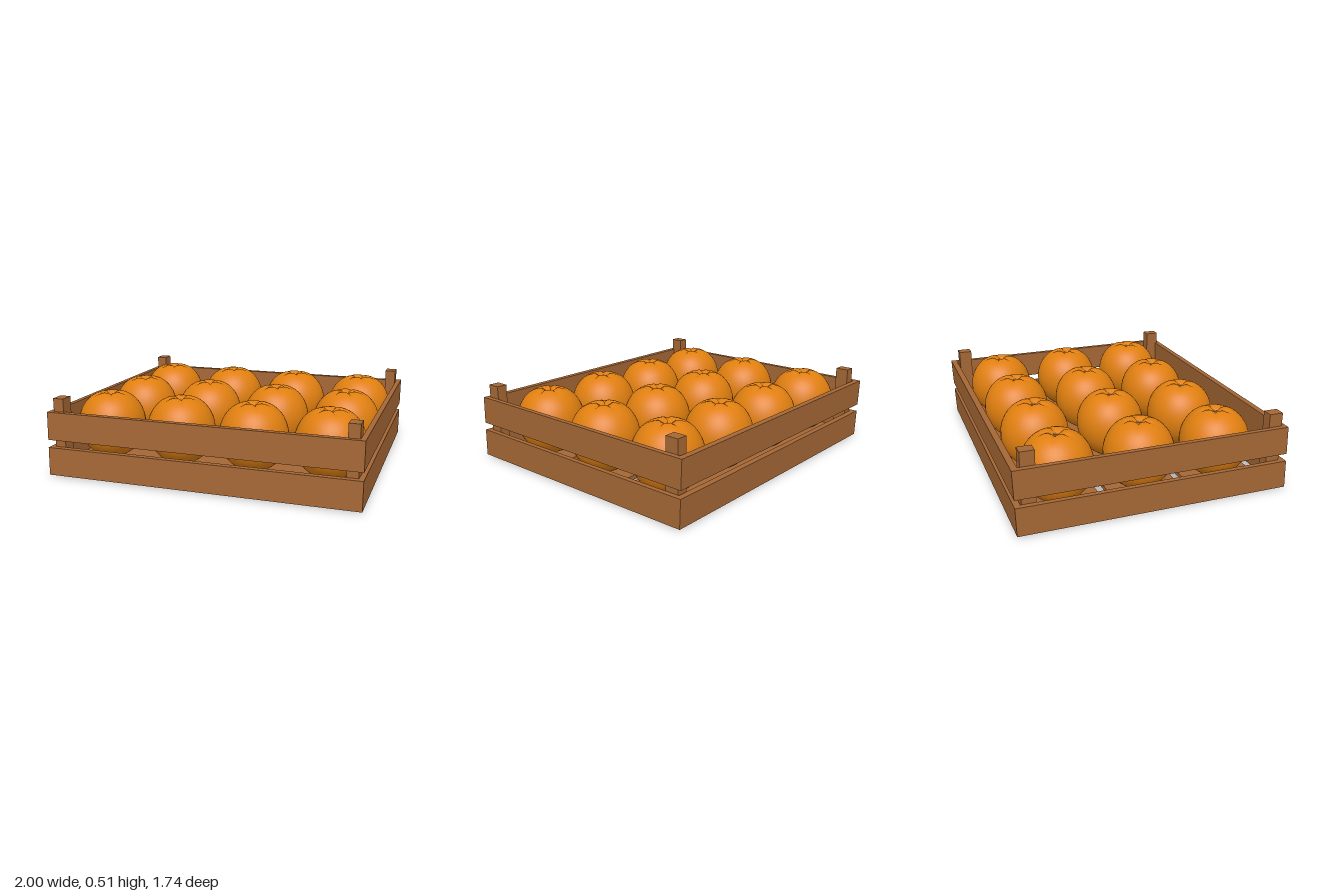
import * as THREE from 'three';
import { mergeVertices } from 'three/addons/utils/BufferGeometryUtils.js';

const LEAN = -0.036; // the walls lean slightly towards the back

export function createModel() {
  const model = new THREE.Group();
  model.name = 'fruitCrate';
  const wood = new THREE.MeshStandardMaterial({ color: 0xa56735 });
  wood.name = 'wood';
  const peel = new THREE.MeshStandardMaterial({ color: 0xe07f10 });
  peel.name = 'orangePeel';
  const stemMat = new THREE.MeshStandardMaterial({ color: 0xa8703c });
  stemMat.name = 'stemBrown';

  // Box given by its limits, optionally sheared along z with height
  function plank(name, x0, x1, y0, y1, z0, z1, lean = 0) {
    const geo = new THREE.BoxGeometry(x1 - x0, y1 - y0, z1 - z0);
    geo.translate((x0 + x1) / 2, (y0 + y1) / 2, (z0 + z1) / 2);
    const p = geo.attributes.position;
    for (let i = 0; i < p.count; i++) p.setZ(i, p.getZ(i) + lean * (p.getY(i) - 0.215));
    geo.computeVertexNormals();
    const mesh = new THREE.Mesh(geo, wood);
    mesh.name = name;
    model.add(mesh);
  }

  // Two tiers of wall boards
  for (const [y0, y1] of [[0.01, 0.19], [0.24, 0.42]]) {
    plank('frontBoard', -1, 1, y0, y1, 0.822, 0.861, LEAN);
    plank('backBoard', -1, 1, y0, y1, -0.861, -0.822, LEAN);
    plank('leftBoard', 0.968, 1, y0, y1, -0.822, 0.822, LEAN);
    plank('rightBoard', -1, -0.968, y0, y1, -0.822, 0.822, LEAN);
  }

  // Corner posts
  for (const x of [-0.967, 0.897]) {
    plank('frontPost', x, x + 0.07, 0.003, 0.505, 0.738, 0.826);
    plank('backPost', x, x + 0.07, 0.006, 0.51, -0.815, -0.727);
  }

  // Floor slats
  for (const z of [-0.643, -0.385, -0.132, 0.125, 0.378, 0.643]) {
    plank('floorSlat', -0.968, 0.968, 0.03, 0.057, z - 0.097, z + 0.097);
  }

  // Fruit: a sphere with a dimpled, creased crown
  let fruitGeo = new THREE.SphereGeometry(1, 40, 28);
  fruitGeo.deleteAttribute('uv');
  fruitGeo.deleteAttribute('normal');
  fruitGeo = mergeVertices(fruitGeo, 1e-4);
  const p = fruitGeo.attributes.position;
  for (let i = 0; i < p.count; i++) {
    const x = p.getX(i), y = p.getY(i), z = p.getZ(i);
    const r = Math.hypot(x, z), a = Math.atan2(z, x);
    let drop = 0;
    if (y > 0) {
      drop = 0.04 * Math.exp(-((r / 0.14) ** 2)) + 0.016 * Math.exp(-((r / 0.5) ** 2));
      const crease = Math.max(0, Math.cos(5 * a + 0.6)) ** 4;
      drop += 0.014 * crease * Math.exp(-(((r - 0.28) / 0.18) ** 2));
    }
    p.setXYZ(i, x * 0.22, y * 0.23 - drop, z * 0.22);
  }
  fruitGeo.computeVertexNormals();
  const stemGeo = new THREE.CylinderGeometry(0.014, 0.022, 0.02, 7);

  // Three rows of four
  for (const z of [-0.54, -0.022, 0.492]) {
    for (const x of [-0.738, -0.24, 0.25, 0.735]) {
      const fruit = new THREE.Group();
      fruit.name = 'orange';
      const body = new THREE.Mesh(fruitGeo, peel);
      body.name = 'fruitBody';
      const stem = new THREE.Mesh(stemGeo, stemMat);
      stem.name = 'fruitStem';
      stem.position.set(0.008, 0.18, 0);
      fruit.add(body, stem);
      fruit.position.set(x, 0.286, z);
      model.add(fruit);
    }
  }
  return model;
}
